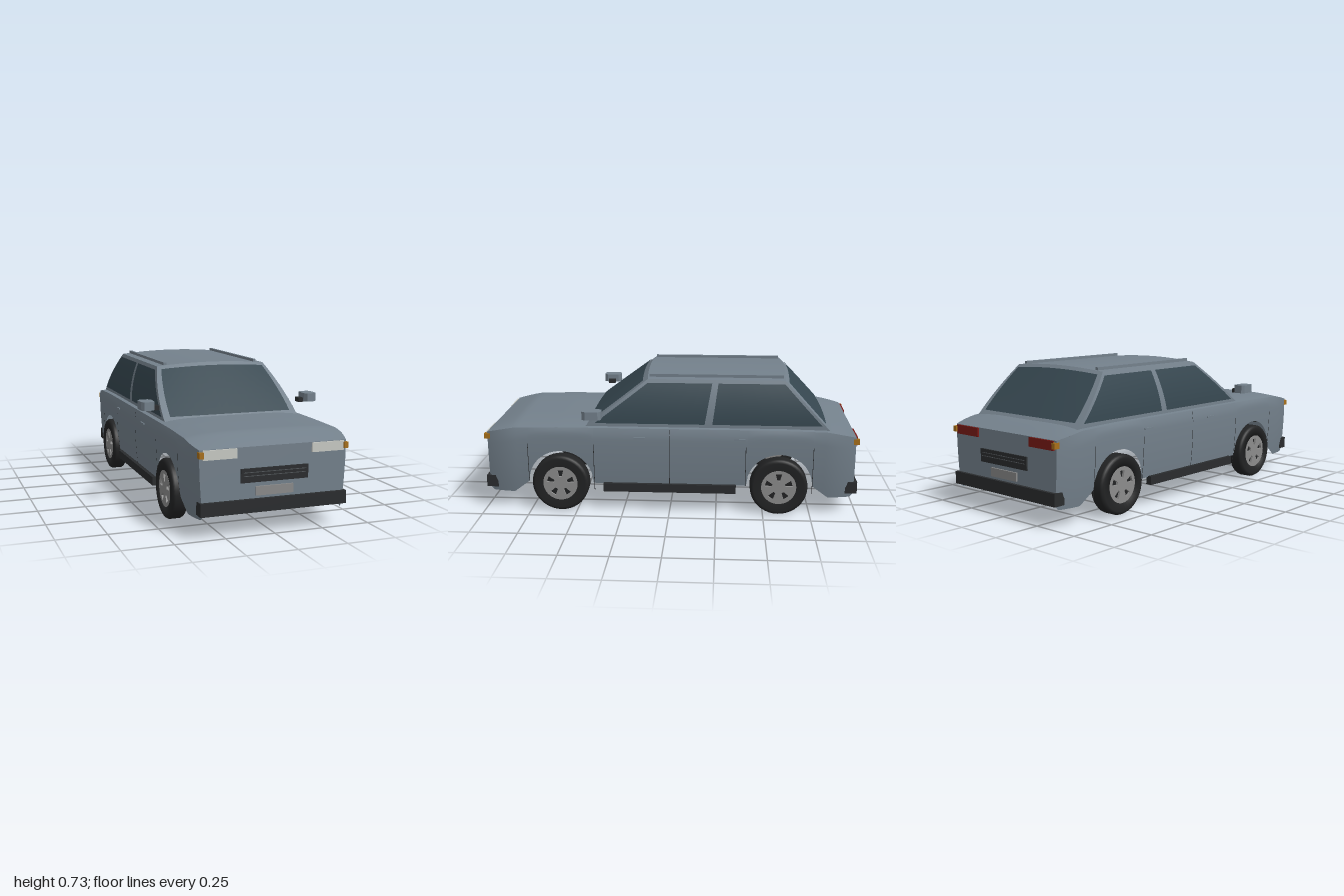
import * as THREE from 'three';

const paint = (color, double) =>
  new THREE.MeshStandardMaterial({ color, side: double ? THREE.DoubleSide : THREE.FrontSide });
const body = paint(0x74818c, true);
const glass = paint(0x364750, true);
const dark = paint(0x2a2c2e, true);
const floorMat = paint(0x5c5c60, true);
const tyreMat = paint(0x222324);
const rimMat = paint(0x8c8c8c);
const plateMat = paint(0x8a8a8a);
const lampMat = paint(0xc8cac4);
const redMat = paint(0x7a1a16);
const amberMat = paint(0xa8701a);
const slatMat = paint(0x505458);

const lerp = THREE.MathUtils.lerp;

// Smooth surface from a rule f(u, v) -> [x, y, z], u and v in 0..1
function surface(name, mat, nu, nv, f) {
  const pos = [], idx = [];
  for (let j = 0; j <= nv; j++) for (let i = 0; i <= nu; i++) pos.push(...f(i / nu, j / nv));
  for (let j = 0; j < nv; j++) for (let i = 0; i < nu; i++) {
    const a = j * (nu + 1) + i, c = a + nu + 1;
    idx.push(a, a + 1, c + 1, a, c + 1, c);
  }
  const g = new THREE.BufferGeometry();
  g.setAttribute('position', new THREE.Float32BufferAttribute(pos, 3));
  g.setIndex(idx);
  g.computeVertexNormals();
  const m = new THREE.Mesh(g, mat);
  m.name = name;
  return m;
}

// Box given by its min and max on each axis
function box(name, mat, x0, x1, y0, y1, z0, z1) {
  const m = new THREE.Mesh(new THREE.BoxGeometry(x1 - x0, y1 - y0, z1 - z0), mat);
  m.position.set((x0 + x1) / 2, (y0 + y1) / 2, (z0 + z1) / 2);
  m.name = name;
  return m;
}

// Lower body rules: bottom edge with arches, top edge, and half width
const END = 0.983, AXLE = 0.585, ARCH = 0.175;
function bottomY(z) {
  const a = Math.abs(z), d = a - AXLE;
  if (Math.abs(d) < ARCH) return 0.155 + Math.sqrt(ARCH * ARCH - d * d);
  if (a < AXLE) return 0.15;
  if (a < 0.845) return lerp(0.155, 0.09, (a - 0.76) / 0.085);
  return a > 0.965 ? lerp(0.09, 0.11, (a - 0.965) / 0.018) : 0.09;
}
function topY(z) {
  const a = Math.abs(z);
  if (a < 0.6) return 0.46;
  if (a < 0.83) return lerp(0.46, 0.455, (a - 0.6) / 0.23);
  return lerp(0.455, 0.424, ((a - 0.83) / 0.153) ** 1.2);
}
function sideX(z, y) {
  const e = Math.max(0, Math.abs(z) - 0.82) / 0.163;
  const w = 0.405 - 0.03 * e * e;
  return y < 0.4 ? w * (1 - 0.05 * ((0.4 - y) / 0.3) ** 2) : w - 0.01 * ((y - 0.4) / 0.06) ** 3;
}

// Cabin rules, t runs from belt (0) to roof (1)
const cabX = t => 0.372 - 0.06 * t ** 1.9;
const cabY = t => 0.455 + 0.255 * t;
const frontZ = t => 0.46 - 0.34 * t;
const rearZ = t => -0.845 + 0.238 * t;
// Windscreen or rear window surface, k in -1..1 across
function screen(end, k, t, off) {
  const c = 1 - k * k;
  const z = end > 0 ? frontZ(t) + 0.01 * c + off : rearZ(t) - 0.01 * c - off;
  return [k * cabX(t), cabY(t) + 0.016 * t * c + off, z];
}

function buildWheel() {
  const wheel = new THREE.Group();
  const profile = [[0.09, -0.036], [0.135, -0.042], [0.147, -0.036], [0.153, -0.026], [0.153, 0.026],
    [0.147, 0.036], [0.135, 0.042], [0.09, 0.036], [0.09, -0.036]].map(p => new THREE.Vector2(...p));
  const tyre = new THREE.Mesh(new THREE.LatheGeometry(profile, 40), tyreMat);
  tyre.rotation.z = Math.PI / 2;
  tyre.name = 'tyre';
  // Rim disc with five tapered openings
  const shape = new THREE.Shape().absarc(0, 0, 0.093, 0, Math.PI * 2);
  for (let i = 0; i < 5; i++) {
    const a = i / 5 * Math.PI * 2 + Math.PI / 2;
    const at = (r, s) => new THREE.Vector2(r * Math.cos(a) - s * Math.sin(a), r * Math.sin(a) + s * Math.cos(a));
    shape.holes.push(new THREE.Path([at(0.036, -0.007), at(0.073, -0.017), at(0.073, 0.017), at(0.036, 0.007)]));
  }
  const rimGeo = new THREE.ExtrudeGeometry(shape, { depth: 0.074, bevelEnabled: false, curveSegments: 24 });
  rimGeo.translate(0, 0, -0.037).rotateY(Math.PI / 2);
  const rim = new THREE.Mesh(rimGeo, rimMat);
  rim.name = 'rim';
  const backing = new THREE.Mesh(new THREE.CylinderGeometry(0.09, 0.09, 0.05, 30), tyreMat);
  backing.rotation.z = Math.PI / 2;
  backing.name = 'rimBacking';
  wheel.add(tyre, rim, backing);
  return wheel;
}

export function createModel() {
  const car = new THREE.Group();
  car.name = 'car';

  // Body top (bonnet, shoulders, boot) and dark underside
  car.add(surface('bodyTop', body, 16, 80, (u, v) => {
    const z = lerp(-END, END, v), k = 1 - 2 * u, y = topY(z);
    const crown = 0.017 * Math.min(1, (END - Math.abs(z)) / 0.15);
    return [k * sideX(z, y), y + crown * (1 - k ** 4), z];
  }));
  car.add(surface('underside', floorMat, 1, 40, (u, v) => {
    const z = lerp(-END, END, v), y = topY(z) - 0.006;
    return [(1 - 2 * u) * (sideX(z, y) - 0.003), y, z];
  }));

  // Roof
  car.add(surface('roof', body, 16, 8, (u, v) => {
    const k = 1 - 2 * u, c = 1 - k * k;
    return [k * cabX(1), cabY(1) + 0.016 * c, lerp(rearZ(1) - 0.01 * c, frontZ(1) + 0.01 * c, v)];
  }));

  for (const s of [1, -1]) {
    const side = s > 0 ? 'left' : 'right';
    // Side panel with wheel arches
    car.add(surface(side + 'SidePanel', body, 240, 10, (u, v) => {
      const z = lerp(END, -END, u) * s, y = lerp(bottomY(z), topY(z), v);
      return [s * sideX(z, y), y, z];
    }));
    // Cabin side and its two windows
    const cabinSide = (name, mat, t0, t1, a, b, off) => car.add(surface(side + name, mat, 6, 10, (u, v) => {
      const t = lerp(t0, t1, v), z = s > 0 ? lerp(a(t), b(t), u) : lerp(b(t), a(t), u);
      return [s * (cabX(t) + off), cabY(t), z];
    }));
    cabinSide('CabinSide', body, 0, 1, frontZ, rearZ, 0);
    cabinSide('FrontWindow', glass, 0.1, 0.93, t => frontZ(t) - 0.025, t => -0.18 - 0.045 * t, 0.003);
    cabinSide('RearWindow', glass, 0.1, 0.93, t => -0.222 - 0.035 * t, t => rearZ(t) + 0.018, 0.003);
    // Panel gaps
    for (const [z, y0, y1] of [[0.405, 0.11, 0.37], [0, 0.15, 0.455], [-0.405, 0.15, 0.37], [0.76, 0.155, 0.37], [-0.76, 0.11, 0.37]])
      car.add(surface(side + 'PanelGap', dark, 1, 6, (u, v) => {
        const y = lerp(y0, y1, v);
        return [s * (sideX(z, y) + 0.002), y, z + s * (0.5 - u) * 0.003];
      }));
    // Sill, handles, roof rail
    const sideBox = (name, mat, x0, x1, ...r) =>
      car.add(box(side + name, mat, s > 0 ? x0 : -x1, s > 0 ? x1 : -x0, ...r));
    sideBox('Sill', dark, 0.378, 0.412, 0.11, 0.155, -0.355, 0.355);
    sideBox('FrontHandle', body, 0.404, 0.412, 0.405, 0.413, 0.13, 0.19);
    sideBox('RearHandle', body, 0.404, 0.412, 0.405, 0.413, -0.4, -0.34);
    sideBox('RoofRail', body, 0.256, 0.272, 0.708, 0.729, -0.6, 0.115);
    // Mirror: chamfered plan housing on a dark arm
    sideBox('MirrorArm', dark, 0.392, 0.43, 0.522, 0.545, 0.385, 0.425);
    const plan = new THREE.Shape([[-0.035, -0.032], [-0.022, -0.05], [0.022, -0.05], [0.035, -0.032],
      [0.035, 0.035], [0.022, 0.05], [-0.022, 0.05], [-0.035, 0.035]].map(p => new THREE.Vector2(...p)));
    const housing = new THREE.Mesh(new THREE.ExtrudeGeometry(plan, { depth: 0.044, bevelEnabled: false }), body);
    housing.rotation.x = -Math.PI / 2;
    housing.position.set(s * 0.455, 0.526, 0.402);
    housing.name = side + 'Mirror';
    car.add(housing);
    // Wheels
    for (const [name, z] of [['FrontWheel', 0.587], ['RearWheel', -0.582]]) {
      const w = buildWheel();
      w.name = side + name;
      w.position.set(s * 0.381, 0.153, z);
      car.add(w);
    }
  }

  // Nose and tail share the same layout
  for (const e of [1, -1]) {
    const end = e > 0 ? 'front' : 'rear';
    car.add(surface(end + 'Panel', body, 8, 8, (u, v) => {
      const y = lerp(0.11, 0.424, v);
      return [e * (2 * u - 1) * sideX(END, y), y, e * END];
    }));
    // Window frame and glass
    car.add(surface(end + 'ScreenFrame', body, 16, 8, (u, v) => screen(e, e * (2 * u - 1), v, 0)));
    car.add(surface(end + 'Screen', glass, 16, 8, (u, v) => {
      const t = lerp(0.1, 0.93, v);
      return screen(e, e * (2 * u - 1) * lerp(0.905, 0.925, v), t, 0.003);
    }));
    const endBox = (name, mat, x0, x1, y0, y1, z0, z1) =>
      car.add(box(end + name, mat, x0, x1, y0, y1, e > 0 ? z0 : -z1, e > 0 ? z1 : -z0));
    endBox('Bumper', dark, -0.375, 0.375, 0.112, 0.176, 0.937, 1);
    endBox('Grille', dark, -0.172, 0.172, 0.255, 0.322, 0.97, 0.992);
    for (const y of [0.285, 0.302]) endBox('GrilleSlat', slatMat, -0.16, 0.16, y, y + 0.003, 0.985, 0.994);
    endBox('Plate', plateMat, -0.096, 0.096, 0.19, 0.234, 0.975, 0.992);
    for (const s of [1, -1]) {
      const pair = (a, b) => s > 0 ? [a, b] : [-b, -a];
      endBox('Lamp', e > 0 ? lampMat : redMat, ...pair(0.192, 0.36), 0.376, 0.422, 0.97, 0.992);
      endBox('Indicator', amberMat, ...pair(0.358, 0.38), 0.386, 0.415, 0.968, 1);
    }
  }
  return car;
}
